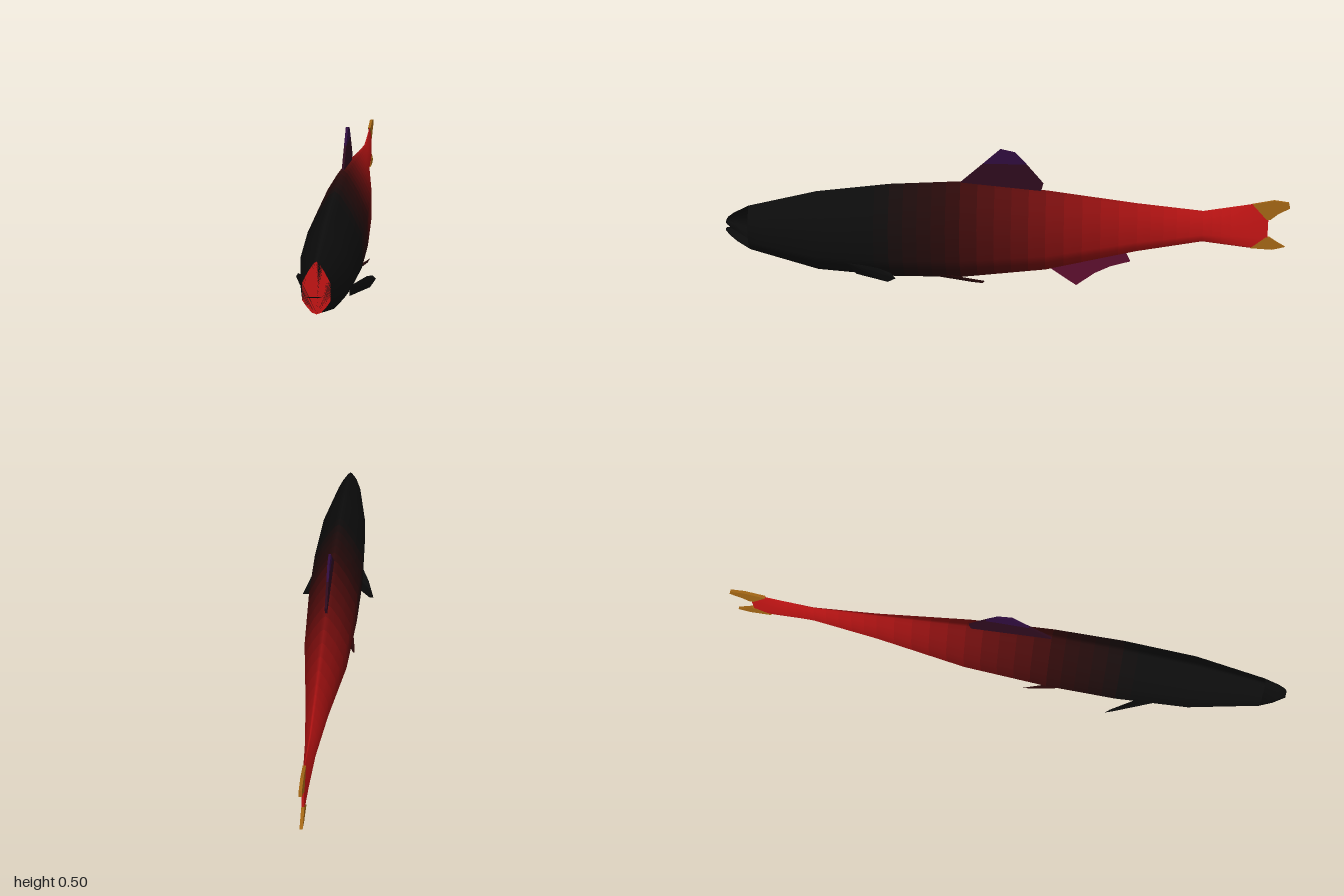
import * as THREE from 'three';
import { ConvexGeometry } from 'three/addons/geometries/ConvexGeometry.js';

// Half cross-sections, bottom to top: [height fraction, width fraction]
const BODY = [[0, 0], [0.03, 0.33], [0.15, 0.72], [0.26, 1], [0.59, 1], [0.8, 0.6], [0.96, 0.2], [1, 0]];
const UPPER = [[0, 1], [0.37, 1], [0.7, 0.6], [0.94, 0.2], [1, 0]];
const LOWER = [[0, 0], [0.09, 0.33], [0.43, 0.72], [0.74, 1], [1, 1]];

// Body colour along z, from dark head to red tail
const STOPS = [[0.45, 0x0c0c0c], [0.2, 0x280909], [-0.05, 0x5c0c0c], [-0.4, 0x9a1010], [-0.8, 0xc01414]];
function colorAt(z) {
  if (z >= STOPS[0][0]) return new THREE.Color(STOPS[0][1]);
  for (let i = 1; i < STOPS.length; i++) {
    const [z0, c0] = STOPS[i - 1], [z1, c1] = STOPS[i];
    if (z >= z1) return new THREE.Color(c0).lerp(new THREE.Color(c1), (z0 - z) / (z0 - z1));
  }
  return new THREE.Color(STOPS[STOPS.length - 1][1]);
}

const paint = (color) => new THREE.MeshStandardMaterial({ color });

// Closed loft through sections [z, bottom, top, half width], coloured in bands
function loft(name, profile, sections, steps) {
  const rings = [];
  sections.forEach((s, k) => {
    if (k === sections.length - 1) return rings.push(s);
    for (let j = 0; j < steps; j++) rings.push(s.map((v, n) => v + (sections[k + 1][n] - v) * j / steps));
  });
  const loop = [...profile, ...profile.filter((p) => p[1] > 0).reverse().map(([t, w]) => [t, -w])];
  const n = loop.length, pos = [], index = [], materials = [];
  const geo = new THREE.BufferGeometry();
  const addRing = ([z, lo, hi, w]) => loop.forEach(([t, x]) => pos.push(x * w, lo + (hi - lo) * t, z));
  rings.forEach(addRing);
  for (let r = 0; r < rings.length - 1; r++) {
    const start = index.length;
    for (let i = 0; i < n; i++) {
      const a = r * n + i, b = r * n + (i + 1) % n;
      index.push(a, a + n, b, b, a + n, b + n);
    }
    geo.addGroup(start, n * 6, materials.length);
    materials.push(paint(colorAt((rings[r][0] + rings[r + 1][0]) / 2)));
  }
  // End caps on their own vertices
  const capStart = index.length, f = rings.length * n;
  addRing(rings[0]);
  addRing(rings[rings.length - 1]);
  for (let i = 1; i < n - 1; i++) index.push(f, f + i, f + i + 1, f + n, f + n + i + 1, f + n + i);
  geo.addGroup(capStart, index.length - capStart, materials.length);
  materials.push(materials[materials.length - 1]);
  geo.setAttribute('position', new THREE.Float32BufferAttribute(pos, 3));
  geo.setIndex(index);
  geo.computeVertexNormals();
  const mesh = new THREE.Mesh(geo, materials);
  mesh.name = name;
  return mesh;
}

// Flat upright fin from an outline of [z, y] points
function fin(name, color, half, outline) {
  const shape = new THREE.Shape(outline.map(([z, y]) => new THREE.Vector2(z, y)));
  const geo = new THREE.ExtrudeGeometry(shape, { depth: half * 2, bevelEnabled: false });
  geo.translate(0, 0, -half).rotateY(-Math.PI / 2);
  const mesh = new THREE.Mesh(geo, paint(color));
  mesh.name = name;
  return mesh;
}

// Thin paddle on each flank, hulled from [x, y, z] points
function pairedFins(name, color, points) {
  const group = new THREE.Group();
  group.name = name + 's';
  for (const side of [1, -1]) {
    const pts = points.map(([x, y, z]) => new THREE.Vector3(x * side, y, z));
    const mesh = new THREE.Mesh(new ConvexGeometry(pts), paint(color));
    mesh.name = (side > 0 ? 'left' : 'right') + name;
    group.add(mesh);
  }
  return group;
}

export function createModel() {
  const fish = new THREE.Group();
  fish.name = 'fish';

  // Body, running into the flat tail
  fish.add(loft('body', BODY, [
    [0.915, 0.118, 0.283, 0.043],
    [0.67, 0.048, 0.342, 0.08],
    [0.41, 0.027, 0.374, 0.09],
    [0.16, 0.027, 0.388, 0.087],
    [-0.14, 0.062, 0.36, 0.073],
    [-0.46, 0.138, 0.318, 0.037],
    [-0.69, 0.18, 0.294, 0.017],
    [-0.85, 0.16, 0.321, 0.008],
    [-0.917, 0.156, 0.333, 0.004],
  ], 5));

  // Jaws with a slightly open mouth
  fish.add(loft('upperJaw', UPPER, [
    [0.915, 0.176, 0.283, 0.043],
    [0.97, 0.203, 0.255, 0.025],
    [0.99, 0.214, 0.24, 0.015],
    [0.997, 0.219, 0.23, 0.008],
  ], 1));
  fish.add(loft('lowerJaw', LOWER, [
    [0.915, 0.118, 0.176, 0.043],
    [0.96, 0.147, 0.184, 0.028],
    [0.985, 0.168, 0.195, 0.016],
    [1, 0.187, 0.196, 0.008],
  ], 1));

  // Back fin, base and tip
  fish.add(fin('dorsalFinBase', 0x2c0a1c, 0.004, [
    [0.16, 0.385], [0.08, 0.455], [-0.07, 0.455], [-0.13, 0.385], [-0.12, 0.35], [0.12, 0.37],
  ]));
  fish.add(fin('dorsalFinTip', 0x2e0c3c, 0.004, [
    [0.08, 0.455], [0.02, 0.508], [-0.03, 0.497], [-0.07, 0.455],
  ]));

  // Belly fin near the tail
  fish.add(fin('analFin', 0x5a0e2c, 0.004, [
    [-0.155, 0.07], [-0.25, 0.005], [-0.315, 0.053], [-0.37, 0.08], [-0.44, 0.1], [-0.42, 0.14], [-0.2, 0.09],
  ]));

  // Forked tail lobes
  fish.add(fin('upperTailLobe', 0xa06414, 0.005, [
    [-0.86, 0.322], [-0.935, 0.337], [-0.985, 0.33], [-0.99, 0.31], [-0.95, 0.288], [-0.925, 0.267], [-0.91, 0.267],
  ]));
  fish.add(fin('lowerTailLobe', 0xa06414, 0.005, [
    [-0.86, 0.159], [-0.935, 0.155], [-0.98, 0.166], [-0.95, 0.183], [-0.925, 0.2], [-0.91, 0.2],
  ]));

  // Front and rear paired fins
  fish.add(pairedFins('PectoralFin', 0x0c0c0c, [
    [0.072, 0.1, 0.56], [0.06, 0.055, 0.53], [0.06, 0.08, 0.5], [0.09, 0.1, 0.5], [0.085, 0.048, 0.45],
    [0.11, 0.1, 0.45], [0.117, 0.05, 0.41], [0.124, 0.088, 0.4], [0.134, 0.071, 0.38],
  ]));
  fish.add(pairedFins('PelvicFin', 0x2c0909, [
    [0.045, 0.045, 0.24], [0.062, 0.06, 0.23], [0.05, 0.05, 0.18],
    [0.065, 0.035, 0.12], [0.08, 0.055, 0.13], [0.08, 0.037, 0.08], [0.086, 0.048, 0.07],
  ]));

  return fish;
}
